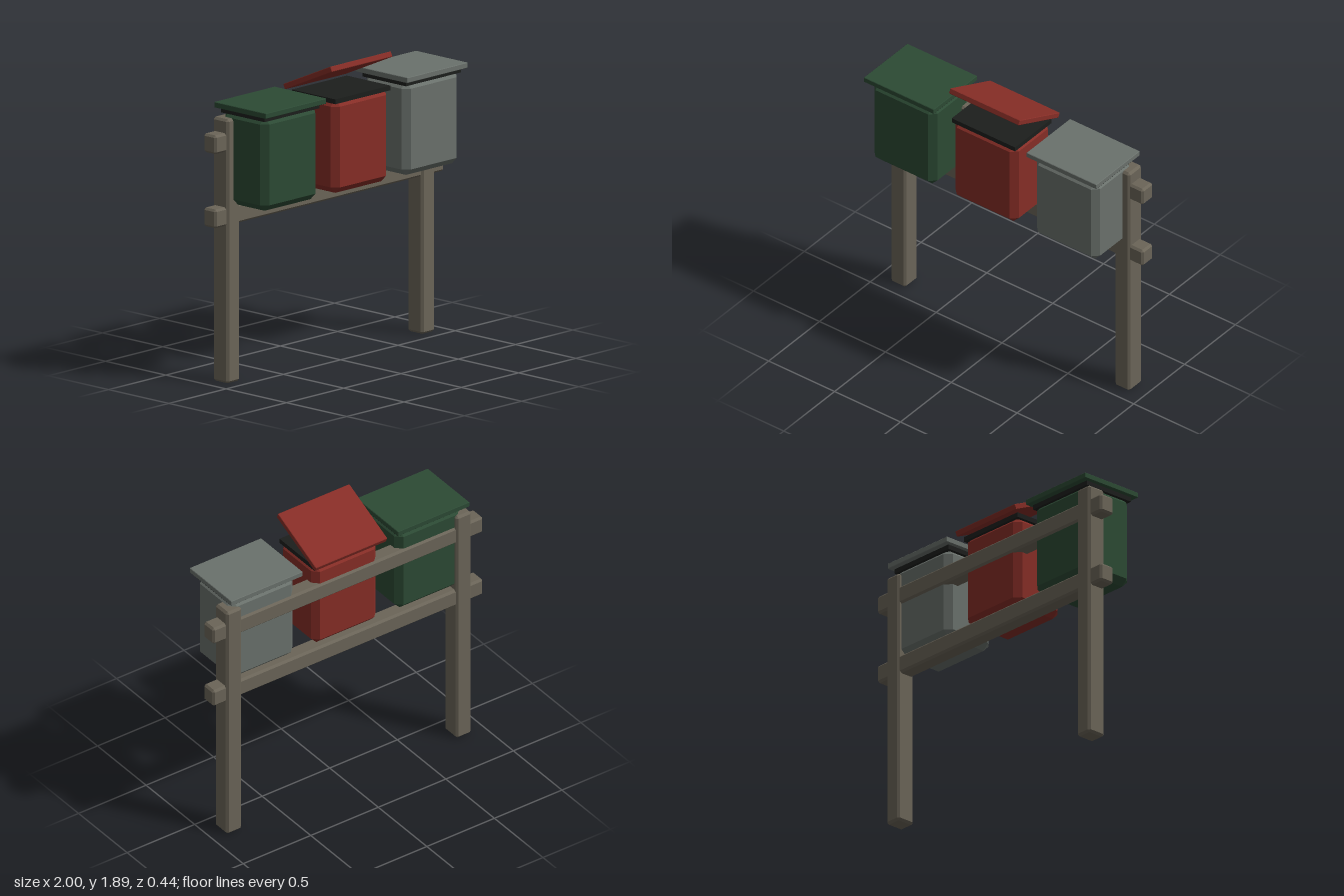
import * as THREE from 'three';
import { ConvexGeometry } from 'three/addons/geometries/ConvexGeometry.js';

const paint = (color) => new THREE.MeshStandardMaterial({ color, flatShading: true });
const wood = paint(0x6b6558);
const rimBlack = paint(0x1c1e1c);

// Box with every edge chamfered by c: the hull of its six inset faces
function chamferedBox(w, h, d, c) {
  const points = [];
  for (const sx of [-1, 1]) for (const sy of [-1, 1]) for (const sz of [-1, 1]) {
    for (let axis = 0; axis < 3; axis++) {
      const half = [w / 2 - c, h / 2 - c, d / 2 - c];
      half[axis] += c;
      points.push(new THREE.Vector3(sx * half[0], sy * half[1], sz * half[2]));
    }
  }
  return new ConvexGeometry(points);
}

function addPart(parent, name, geometry, material, x, y, z) {
  const mesh = new THREE.Mesh(geometry, material);
  mesh.name = name;
  mesh.position.set(x, y, z);
  parent.add(mesh);
  return mesh;
}

// One mailbox: chamfered body, dark rim and a lid hinged along its back edge
function createMailbox(name, color, x, lidAngle) {
  const box = new THREE.Group();
  box.name = name;
  box.position.x = x;
  const material = paint(color);
  addPart(box, 'body', chamferedBox(0.48, 0.58, 0.365, 0.04), material, 0, 1.385, 0.003);
  addPart(box, 'rim', new THREE.BoxGeometry(0.48, 0.03, 0.36), rimBlack, 0, 1.672, 0.003);

  const hinge = new THREE.Group();
  hinge.name = 'lidHinge';
  hinge.position.set(0, 1.686, -0.213);
  hinge.rotation.x = -lidAngle;
  addPart(hinge, 'lid', chamferedBox(0.53, 0.034, 0.43, 0.003), material, 0, 0.017, 0.215);
  box.add(hinge);
  return box;
}

export function createModel() {
  const model = new THREE.Group();
  model.name = 'mailboxStand';

  // Two posts
  const postGeometry = chamferedBox(0.113, 1.635, 0.128, 0.014);
  for (const side of [-1, 1]) {
    addPart(model, side < 0 ? 'rightPost' : 'leftPost', postGeometry, wood, side * 0.85, 0.8175, -0.14);
  }

  // Two rails running through the posts
  const railGeometry = chamferedBox(2, 0.116, 0.104, 0.013);
  addPart(model, 'lowerRail', railGeometry, wood, 0, 1.033, -0.14);
  addPart(model, 'upperRail', railGeometry, wood, 0, 1.492, -0.14);

  // Three mailboxes, the middle one open
  model.add(
    createMailbox('greenMailbox', 0x2c4a34, -0.617, 0),
    createMailbox('redMailbox', 0x862d26, 0, THREE.MathUtils.degToRad(24)),
    createMailbox('greyMailbox', 0x6a716c, 0.617, 0),
  );
  return model;
}
